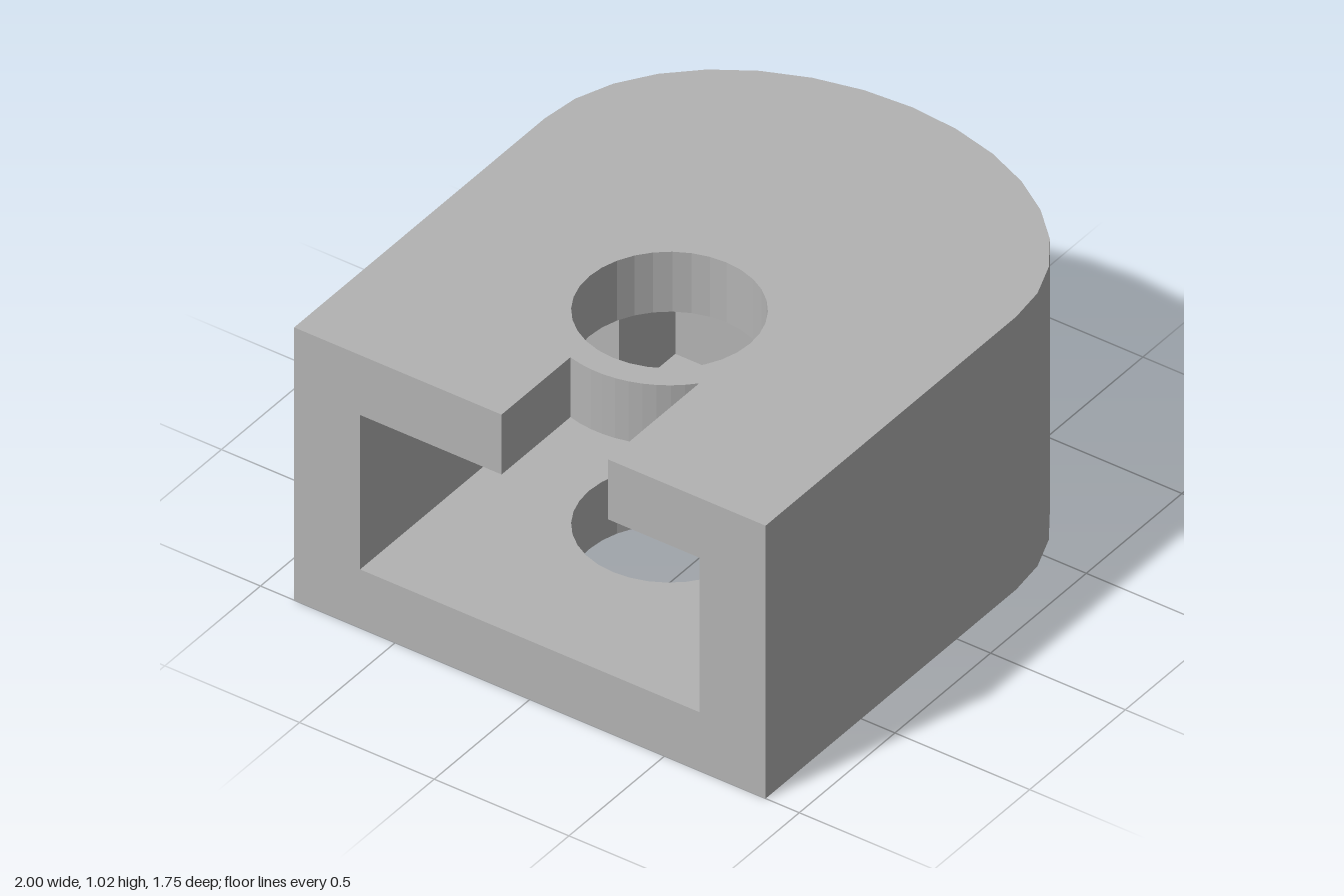
import * as THREE from 'three';

const HALF = 0.875;            // half depth of the block
const HOLE_X = -0.27;          // centre of the vertical bore

// Points along an elliptical arc, in plan (shape y is -z)
function arc(cx, rx, ry, from, to, n) {
  const pts = [];
  for (let i = 0; i <= n; i++) {
    const a = from + (to - from) * i / n;
    pts.push(new THREE.Vector2(cx + rx * Math.cos(a), ry * Math.sin(a)));
  }
  return pts;
}
const points = (list) => list.map(([x, y]) => new THREE.Vector2(x, y));

export function createModel() {
  const group = new THREE.Group();
  group.name = 'slottedBlock';
  const grey = new THREE.MeshStandardMaterial({ color: 0xb3b3b3 });
  grey.name = 'plain grey';

  // One horizontal layer: round-ended outline with a cut in the flat end and an optional bore
  function layer(name, y0, y1, cut, bore) {
    const shape = new THREE.Shape([
      ...points([[-1, -HALF]]),
      ...arc(0.31, 0.69, HALF, -Math.PI / 2, Math.PI / 2, 16),
      ...points([[-1, HALF]]),
      ...cut,
    ]);
    if (bore) shape.holes.push(new THREE.Path(arc(HOLE_X, 0.298, 0.298, 0, -Math.PI * 2, 32).slice(0, -1)));
    const geo = new THREE.ExtrudeGeometry(shape, { depth: y1 - y0, bevelEnabled: false });
    geo.rotateX(-Math.PI / 2);
    geo.translate(0, y0, 0);
    const mesh = new THREE.Mesh(geo, grey);
    mesh.name = name;
    group.add(mesh);
  }

  // Floor plate with bore
  layer('floor', 0, 0.22, [], true);

  // Walls around the stepped cavity, open at the flat end
  const cavity = points([
    [-1, 0.63], [0.157, 0.63], [0.157, 0.49], [0.45, 0.49],
    [0.45, -0.49], [0.157, -0.49], [0.157, -0.63], [-1, -0.63],
  ]);
  layer('walls', 0.22, 0.8, cavity, false);

  // Roof plate with bore and a slot that stops at a rim around the bore
  const r = 0.385, back = 0.105, front = 0.29;
  const slot = [
    ...points([[-1, back]]),
    ...arc(HOLE_X, r, r, Math.PI - Math.asin(back / r), Math.PI + Math.asin(front / r), 10),
    ...points([[-1, -front]]),
  ];
  layer('roof', 0.8, 1.025, slot, true);

  return group;
}
